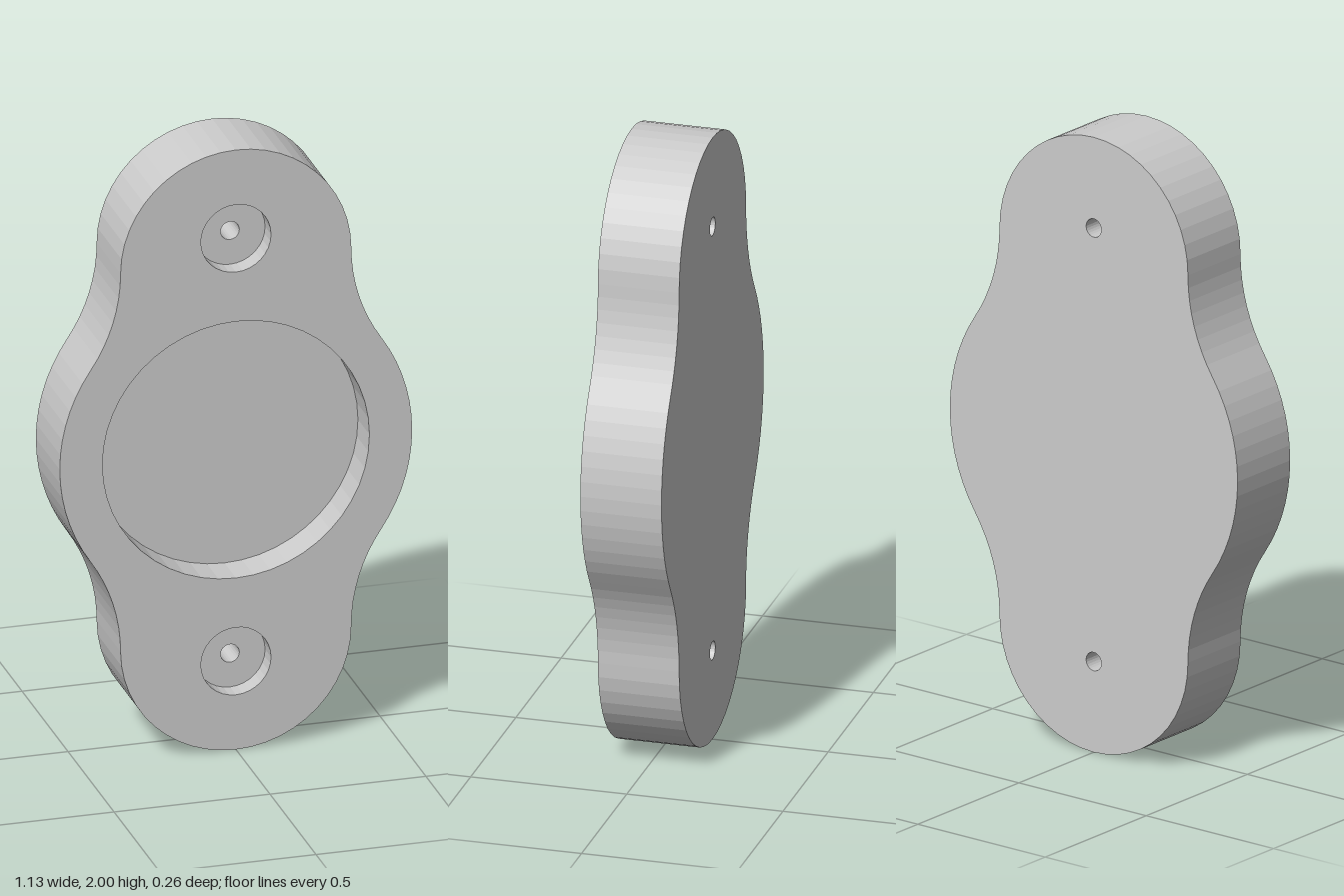
import * as THREE from 'three';

const HALF = 0.13;                        // half the plate thickness
const BODY_R = 0.565, LOBE_R = 0.37, LOBE_Y = 0.63;
const HOLE_Y = 0.705, HOLE_R = 0.03;
const BORE_R = 0.1125, BORE_FLOOR = HALF - 0.065;
const POCKET_R = 0.428, POCKET_FLOOR = HALF - 0.125;

const material = new THREE.MeshStandardMaterial({ color: 0xcccccc, flatShading: true });

// Points along an arc, without its last point so arcs can be chained
function arc(x, y, r, from, to, steps) {
  const points = [];
  for (let i = 0; i < steps; i++) {
    const t = from + (to - from) * i / steps;
    points.push(new THREE.Vector2(x + r * Math.cos(t), y + r * Math.sin(t)));
  }
  return points;
}
const circle = (y, r, steps) => arc(0, y, r, 0, Math.PI * 2, steps);

// Round body blended into two end lobes by tangent concave fillets
function outline() {
  const fillet = (LOBE_R ** 2 + LOBE_Y ** 2 - BODY_R ** 2) / (2 * (BODY_R - LOBE_R));
  const cx = LOBE_R + fillet;
  const a = Math.atan2(LOBE_Y, cx);
  const half = [
    ...arc(0, 0, BODY_R, -a, a, 14),
    ...arc(cx, LOBE_Y, fillet, Math.PI + a, Math.PI, 8),
    ...arc(0, LOBE_Y, LOBE_R, 0, Math.PI, 24),
    ...arc(-cx, LOBE_Y, fillet, 0, -a, 8),
  ];
  // The second half is the first turned by 180 degrees
  return [...half, ...half.map((p) => new THREE.Vector2(-p.x, -p.y))];
}

// Flat face at depth z with optional holes
function face(points, holes, z, back = false) {
  const shape = new THREE.Shape(points);
  shape.holes = holes.map((h) => new THREE.Path(h));
  const geometry = new THREE.ShapeGeometry(shape);
  if (back) {
    const index = geometry.index.array;
    for (let i = 0; i < index.length; i += 3) [index[i], index[i + 1]] = [index[i + 1], index[i]];
    geometry.computeVertexNormals();
  }
  return geometry.translate(0, 0, z);
}

// Faceted wall between two depths; inward walls face the middle of the loop
function wall(points, z0, z1, inward = false) {
  const positions = [];
  points.forEach((p, i) => {
    let a = p, b = points[(i + 1) % points.length];
    if (inward) [a, b] = [b, a];
    positions.push(a.x, a.y, z0, b.x, b.y, z0, b.x, b.y, z1);
    positions.push(a.x, a.y, z0, b.x, b.y, z1, a.x, a.y, z1);
  });
  const geometry = new THREE.BufferGeometry();
  geometry.setAttribute('position', new THREE.Float32BufferAttribute(positions, 3));
  geometry.computeVertexNormals();
  return geometry;
}

export function createModel() {
  const model = new THREE.Group();
  model.name = 'mountingPlate';
  const add = (name, geometry) => {
    const mesh = new THREE.Mesh(geometry, material);
    mesh.name = name;
    mesh.position.y = 1;
    model.add(mesh);
  };

  const edge = outline();
  const pocket = circle(0, POCKET_R, 48);
  const ends = [HOLE_Y, -HOLE_Y];
  const bores = ends.map((y) => circle(y, BORE_R, 32));
  const holes = ends.map((y) => circle(y, HOLE_R, 24));

  // Plate
  add('frontFace', face(edge, [pocket, ...bores], HALF));
  add('backFace', face(edge, holes, -HALF, true));
  add('outerWall', wall(edge, -HALF, HALF));

  // Round blind pocket in the middle
  add('pocketWall', wall(pocket, POCKET_FLOOR, HALF, true));
  add('pocketFloor', face(pocket, [], POCKET_FLOOR));

  // Counterbored screw holes, upper and lower
  ['upper', 'lower'].forEach((end, i) => {
    add(end + 'CounterboreWall', wall(bores[i], BORE_FLOOR, HALF, true));
    add(end + 'CounterboreFloor', face(bores[i], [holes[i]], BORE_FLOOR));
    add(end + 'ScrewHole', wall(holes[i], -HALF, BORE_FLOOR, true));
  });

  return model;
}
